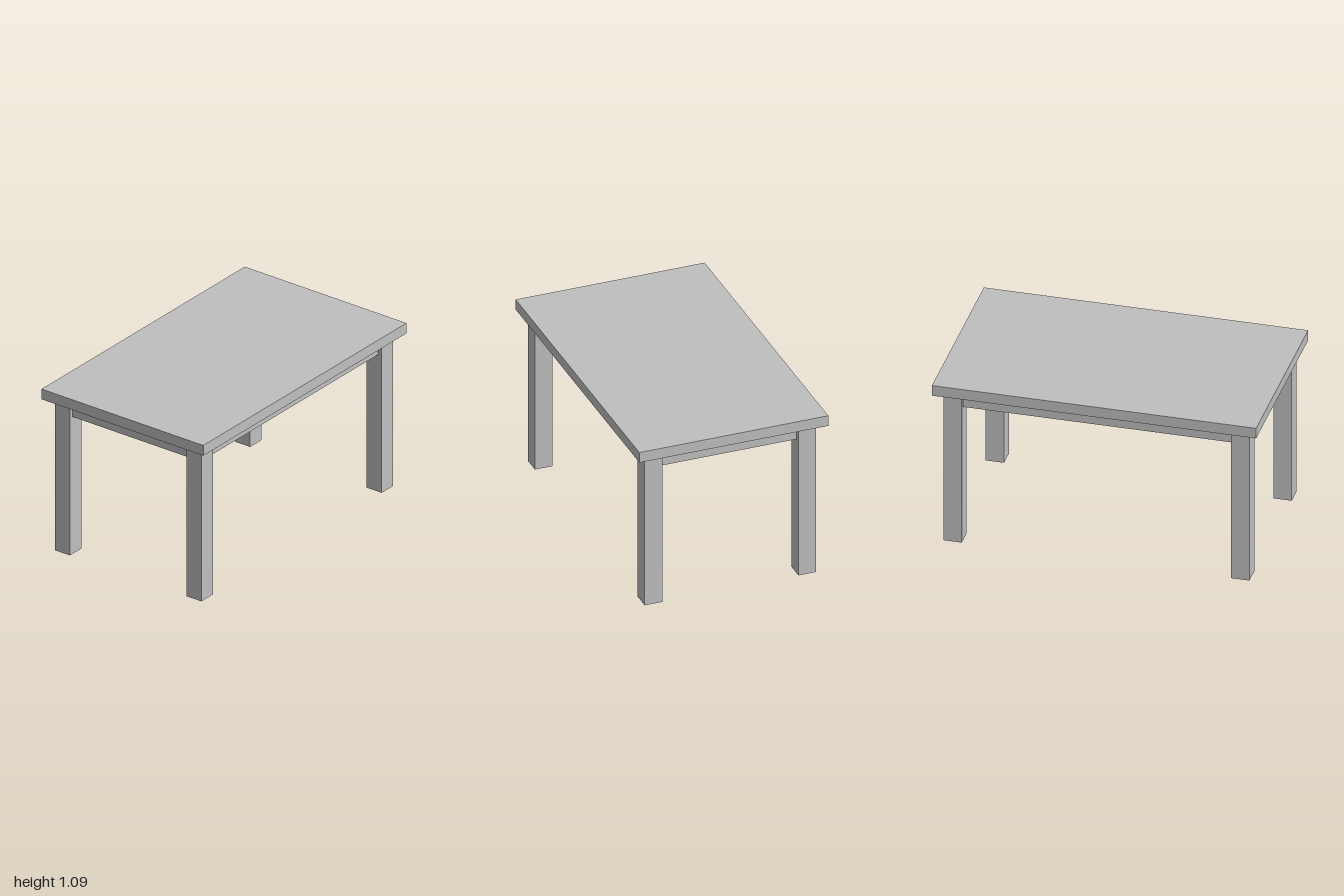
import * as THREE from 'three';

export function createModel() {
  const table = new THREE.Group();
  table.name = 'table';
  const grey = new THREE.MeshStandardMaterial({ color: 0xbfbfbf });
  grey.name = 'light grey';

  // Box resting on height y
  const addBox = (name, w, h, d, x, y, z) => {
    const mesh = new THREE.Mesh(new THREE.BoxGeometry(w, h, d), grey);
    mesh.name = name;
    mesh.position.set(x, y + h / 2, z);
    table.add(mesh);
  };

  const topY = 1.018, topThickness = 0.069;
  const legSize = 0.113, legX = 0.887, legZ = 0.493;
  const apronY = 0.918, apronInset = 0.028;

  addBox('tableTop', 2, topThickness, 1.212, 0, topY, 0);

  // Solid apron block, set slightly back from the outer leg faces
  const inset = legSize - 2 * apronInset;
  addBox('apron', 2 * legX + inset, topY - apronY, 2 * legZ + inset, 0, apronY, 0);

  // Four square legs
  for (const [sx, side] of [[1, 'Left'], [-1, 'Right']]) {
    for (const [sz, end] of [[1, 'front'], [-1, 'back']]) {
      addBox(`${end}${side}Leg`, legSize, topY, legSize, sx * legX, 0, sz * legZ);
    }
  }
  return table;
}
